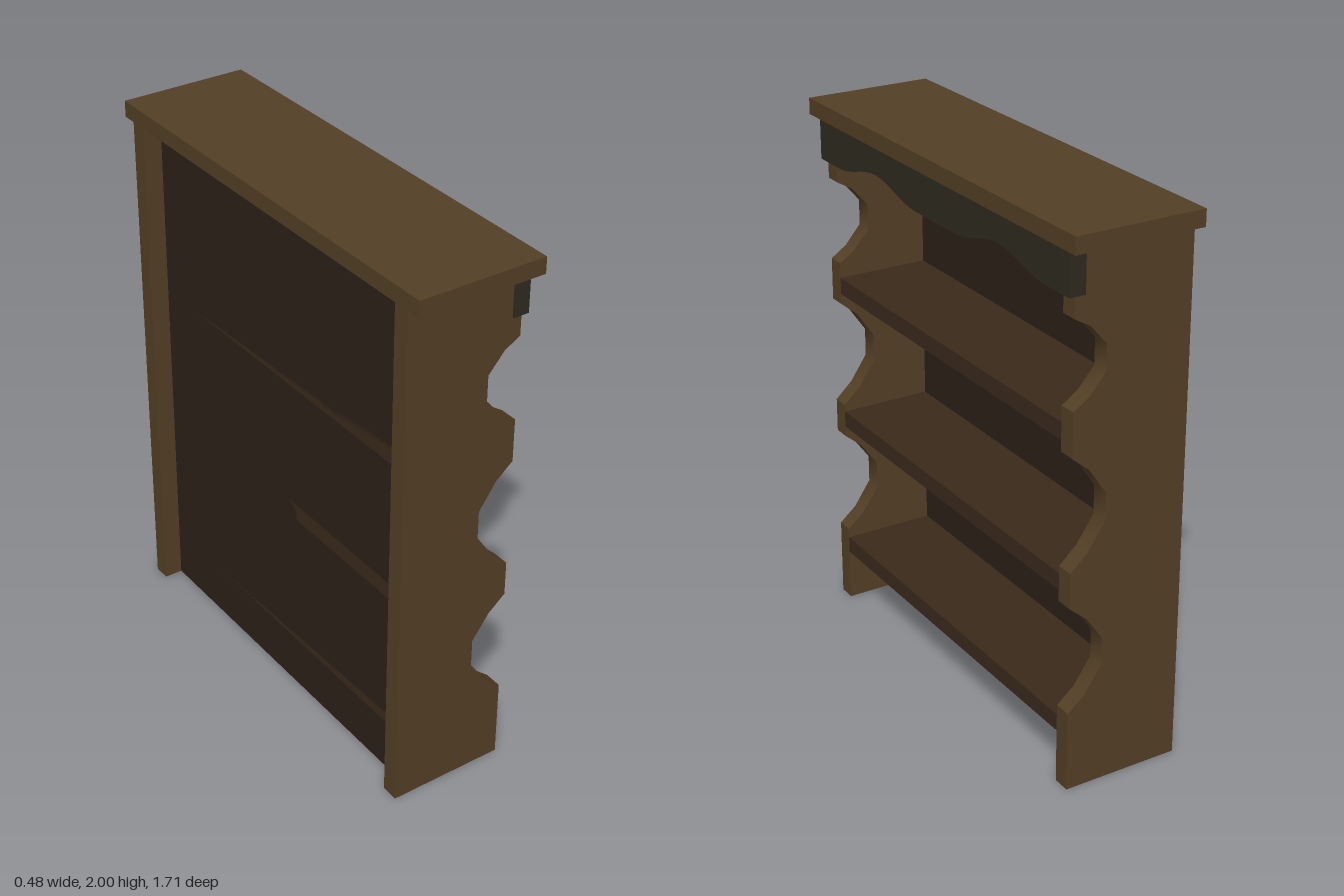
import * as THREE from 'three';
import { toCreasedNormals } from 'three/addons/utils/BufferGeometryUtils.js';

const mat = (color) => new THREE.MeshStandardMaterial({ color });

export function createModel() {
  const group = new THREE.Group();
  const wood = mat(0x533f25), shelfWood = mat(0x3a291b);
  const backWood = mat(0x2d2018), trim = mat(0x2e2a20);

  const add = (name, geometry, material) => {
    const mesh = new THREE.Mesh(geometry, material);
    mesh.name = name;
    group.add(mesh);
    return mesh;
  };
  // Box given by its lower and upper limits on x and y, centred on z
  const box = (name, x0, x1, y0, y1, depth, material) =>
    add(name, new THREE.BoxGeometry(x1 - x0, y1 - y0, depth), material)
      .position.set((x0 + x1) / 2, (y0 + y1) / 2, 0);

  // Side panels: three scallops cut into the front edge
  const side = new THREE.Shape();
  side.moveTo(-0.24, 0);
  side.lineTo(0.2, 0);
  const scallops = [
    [0.07, [0.3, 0.355, 0.45, 0.555, 0.645, 0.7]],
    [0.07, [0.83, 0.89, 0.985, 1.09, 1.185, 1.24]],
    [0.08, [1.4, 1.44, 1.51, 1.605, 1.675, 1.71]],
  ];
  for (const [inner, heights] of scallops) {
    const mid = (0.2 + inner) / 2;
    [0.2, mid, inner, inner, mid, 0.2].forEach((x, i) => side.lineTo(x, heights[i]));
  }
  side.lineTo(0.2, 1.94);
  side.lineTo(-0.24, 1.94);
  const sideGeometry = toCreasedNormals(
    new THREE.ExtrudeGeometry(side, { depth: 0.065, bevelEnabled: false }), 0.75);
  add('leftmostSidePanel', sideGeometry, wood).position.z = 0.735;
  add('oppositeSidePanel', sideGeometry, wood).position.z = -0.8;

  // Top board, recessed back panel and shelves
  box('topBoard', -0.24, 0.24, 1.94, 2, 1.71, wood);
  box('backPanel', -0.17, -0.15, 0, 1.94, 1.47, backWood);
  for (const y of [0.2, 0.74, 1.28]) box('shelf', -0.17, 0.2, y, y + 0.063, 1.47, shelfWood);

  // Valance under the top, with two shallow arches in its lower edge
  const valance = new THREE.Shape();
  valance.moveTo(-0.805, 1.94);
  valance.lineTo(-0.805, 1.785);
  for (const c of [-0.4, 0.4]) {
    for (let i = 0; i <= 16; i++) {
      const t = i / 16;
      valance.lineTo(c + (t - 0.5) * 0.54, 1.785 + 0.025 * (1 - Math.cos(t * Math.PI * 2)));
    }
  }
  valance.lineTo(0.805, 1.785);
  valance.lineTo(0.805, 1.94);
  const valanceGeometry = toCreasedNormals(
    new THREE.ExtrudeGeometry(valance, { depth: 0.06, bevelEnabled: false }), 0.75);
  valanceGeometry.rotateY(Math.PI / 2);
  add('valance', valanceGeometry, trim).position.x = 0.165;

  return group;
}
